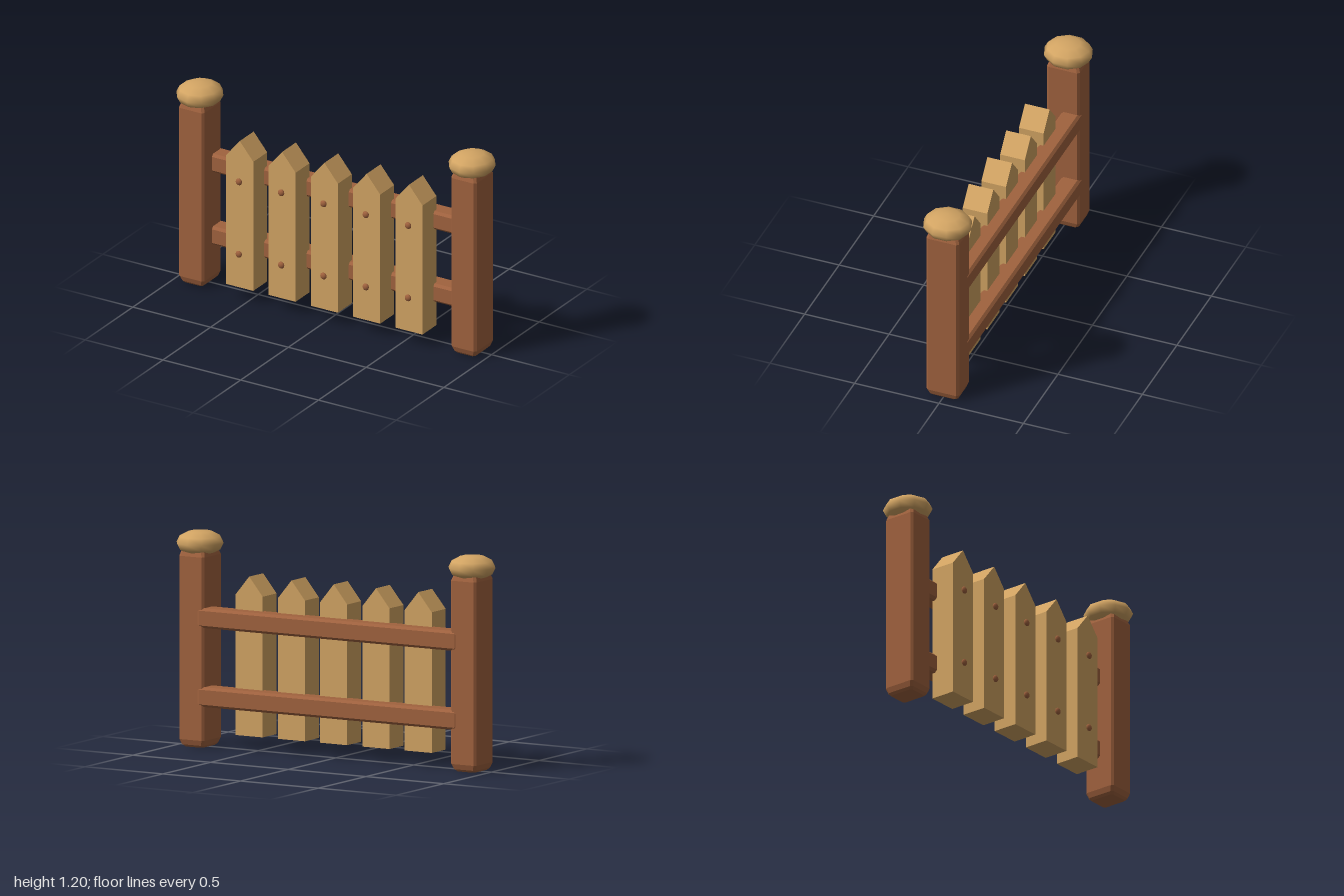
import * as THREE from 'three';

const wood = new THREE.MeshStandardMaterial({ color: 0xa0623e });
wood.name = 'brown wood';
const tan = new THREE.MeshStandardMaterial({ color: 0xd2a463 });
tan.name = 'pale wood';

// Beam along y with chamfered long edges and two-step softened ends, flat faces
function beam(w, length, d, bevel, end) {
  const rings = [
    [0, end * 0.55], [end * 0.3, end * 0.25], [end, 0],
    [length - end, 0], [length - end * 0.3, end * 0.25], [length, end * 0.55],
  ];
  const pos = [];
  const index = [];
  for (const [y, inset] of rings) {
    const x = w / 2 - inset;
    const z = d / 2 - inset;
    const b = bevel;
    const outline = [
      [x, z - b], [x - b, z], [b - x, z], [-x, z - b],
      [-x, b - z], [b - x, -z], [x - b, -z], [x, b - z],
    ];
    for (const [px, pz] of outline) pos.push(px, y - length / 2, pz);
  }
  for (let r = 0; r < rings.length - 1; r++) {
    for (let i = 0; i < 8; i++) {
      const a = r * 8 + i;
      const n = r * 8 + (i + 1) % 8;
      index.push(a, a + 8, n, n, a + 8, n + 8);
    }
  }
  const top = (rings.length - 1) * 8;
  for (let i = 1; i < 7; i++) {
    index.push(0, i, i + 1);
    index.push(top, top + i + 1, top + i);
  }
  const g = new THREE.BufferGeometry();
  g.setAttribute('position', new THREE.Float32BufferAttribute(pos, 3));
  g.setIndex(index);
  const flat = g.toNonIndexed();
  flat.computeVertexNormals();
  return flat;
}

function add(parent, name, geometry, material, x, y, z) {
  const mesh = new THREE.Mesh(geometry, material);
  mesh.name = name;
  mesh.position.set(x, y, z);
  parent.add(mesh);
  return mesh;
}

export function createModel() {
  const fence = new THREE.Group();
  fence.name = 'picketFence';

  // End posts with flattened round caps
  const postGeo = beam(0.164, 1.1, 0.194, 0.013, 0.042);
  const capGeo = new THREE.SphereGeometry(1, 10, 6);
  capGeo.rotateY(Math.PI / 2);
  capGeo.scale(0.131, 0.071, 0.14);
  for (const side of [-1, 1]) {
    const label = side > 0 ? 'left' : 'right';
    add(fence, label + 'Post', postGeo, wood, side * 0.875, 0.55, 0);
    add(fence, label + 'Cap', capGeo, tan, side * 0.875, 1.126, 0);
  }

  // Horizontal rails, set towards the back
  const railGeo = beam(0.11, 1.68, 0.11, 0.014, 0.02);
  railGeo.rotateZ(Math.PI / 2);
  add(fence, 'lowerRail', railGeo, wood, 0, 0.285, -0.046);
  add(fence, 'upperRail', railGeo, wood, 0, 0.723, -0.046);

  // Pointed pickets, each held by two nails
  const outline = new THREE.Shape([
    new THREE.Vector2(-0.087, 0.08),
    new THREE.Vector2(0.087, 0.08),
    new THREE.Vector2(0.087, 0.86),
    new THREE.Vector2(0, 0.965),
    new THREE.Vector2(-0.087, 0.86),
  ]);
  const picketGeo = new THREE.ExtrudeGeometry(outline, { depth: 0.146, bevelEnabled: false });
  const nailGeo = new THREE.SphereGeometry(1, 10, 6);
  nailGeo.scale(0.02, 0.02, 0.012);
  for (let i = -2; i <= 2; i++) {
    const x = i * 0.272;
    add(fence, 'picket', picketGeo, tan, x, 0, -0.024);
    for (const y of [0.285, 0.722]) add(fence, 'nail', nailGeo, wood, x, y, 0.132);
  }
  return fence;
}
